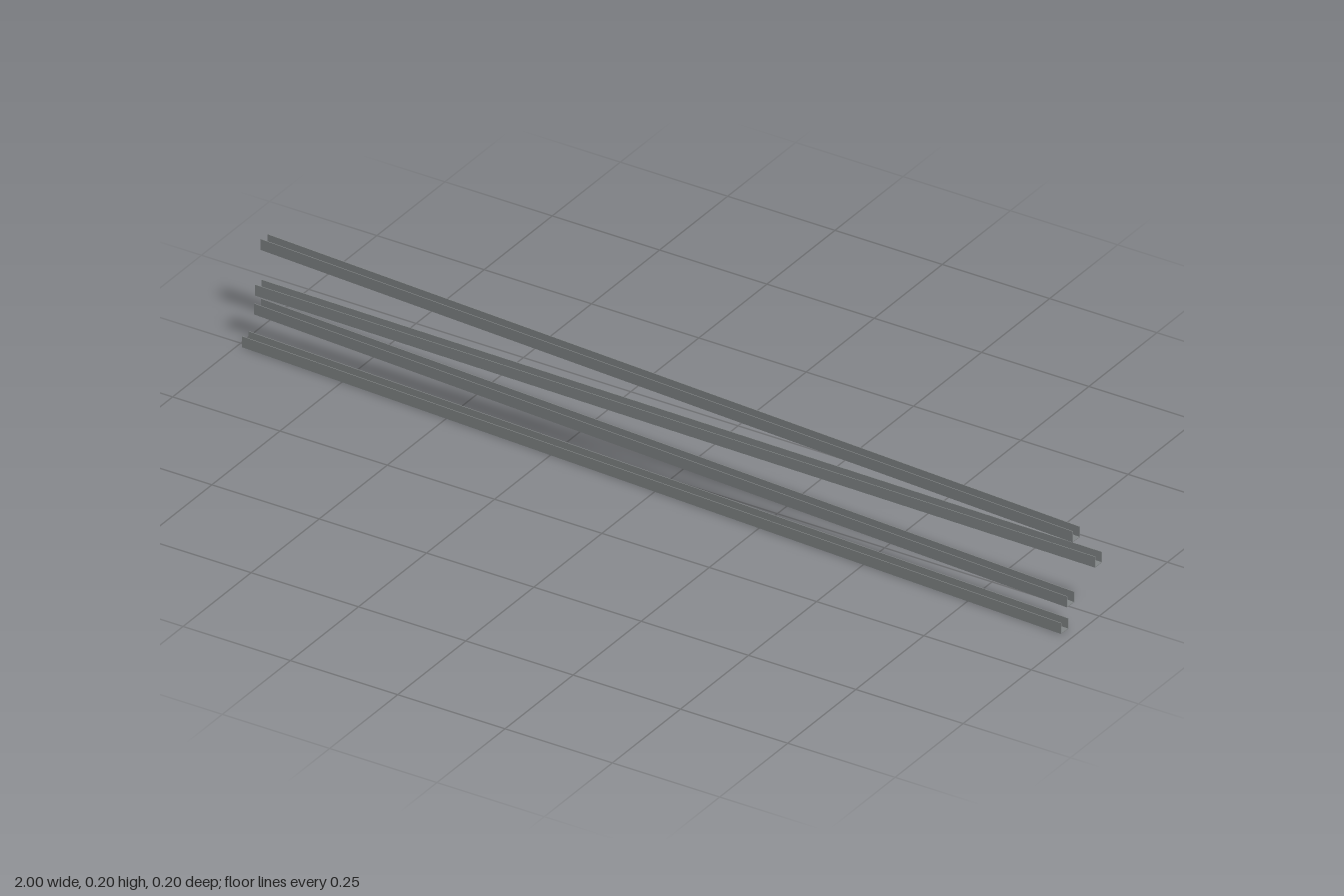
import * as THREE from 'three';

const WIDTH = 0.025, HEIGHT = 0.0245, WALL = 0.0016, SPACING = 0.0585;

// Upward-opening U section
function channelSection() {
  const w = WIDTH / 2, i = w - WALL;
  return new THREE.Shape([
    [-w, 0], [w, 0], [w, HEIGHT], [i, HEIGHT],
    [i, WALL], [-i, WALL], [-i, HEIGHT], [-w, HEIGHT],
  ].map(([x, y]) => new THREE.Vector2(x, y)));
}

export function createModel() {
  const model = new THREE.Group();
  model.name = 'channelRails';
  const steel = new THREE.MeshStandardMaterial({ color: 0x838788 });
  steel.name = 'grey steel';
  const section = channelSection();

  // Each rail runs from (x0, z0) to (x1, z1), lowest first
  const rails = [
    [-0.989, -0.0005, 0.975, 0.0875],
    [-0.983, -0.0365, 0.983, 0.0785],
    [-0.968, -0.0145, 1.0, 0.0025],
    [-1.0, -0.0865, 0.964, 0.0275],
  ];
  rails.forEach(([x0, z0, x1, z1], k) => {
    const dx = x1 - x0, dz = z1 - z0;
    const geometry = new THREE.ExtrudeGeometry(section, {
      depth: Math.hypot(dx, dz), bevelEnabled: false,
    });
    const rail = new THREE.Mesh(geometry, steel);
    rail.name = `rail${k + 1}`;
    rail.position.set(x0, k * SPACING, z0);
    rail.rotation.y = Math.atan2(dx, dz);
    model.add(rail);
  });
  return model;
}
